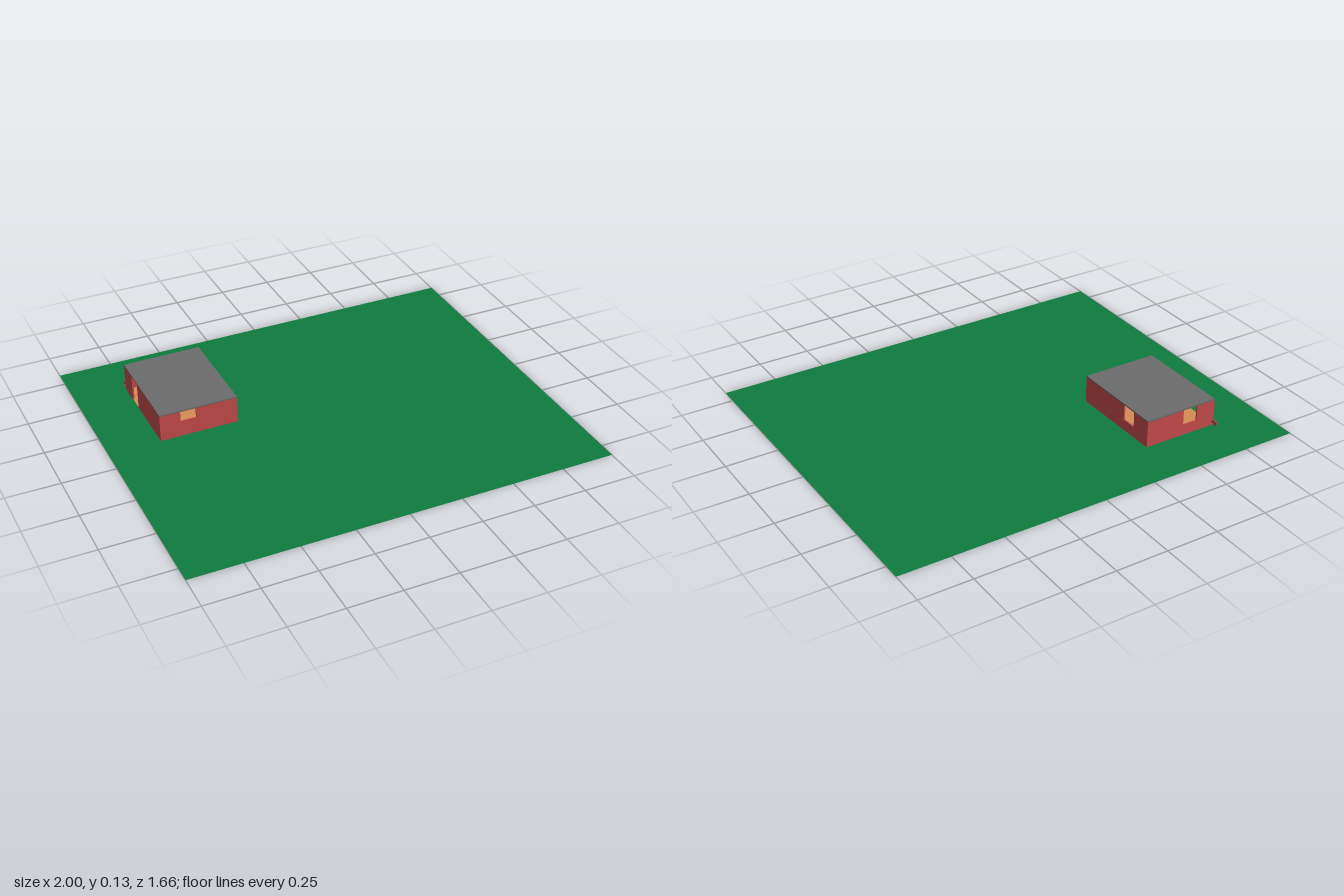
import * as THREE from 'three';

const mat = (name, color, extra = {}) => {
  const m = new THREE.MeshStandardMaterial({ color, ...extra });
  m.name = name;
  return m;
};

// House extents
const X0 = -0.755, X1 = -0.385, Z0 = -0.587, Z1 = -0.115;
const WALL_H = 0.128, ROOF_T = 0.006, T = 0.007, GROUND_Y = 0.001;

export function createModel() {
  const green = mat('grass green', 0x0f7c3f, { side: THREE.DoubleSide });
  const red = mat('wall red', 0xcc4e4e);
  const grey = mat('roof grey', 0x6c6c6c);
  const orange = mat('floor orange', 0xd68c55, { side: THREE.DoubleSide });
  const dark = mat('dark metal', 0x3a3030);

  const model = new THREE.Group();
  model.name = 'houseOnLawn';

  const add = (parent, name, geometry, material, x, y, z) => {
    const mesh = new THREE.Mesh(geometry, material);
    mesh.name = name;
    mesh.position.set(x, y, z);
    parent.add(mesh);
    return mesh;
  };
  const box = (parent, name, material, x0, x1, y0, y1, z0, z1) =>
    add(parent, name, new THREE.BoxGeometry(x1 - x0, y1 - y0, z1 - z0), material,
      (x0 + x1) / 2, (y0 + y1) / 2, (z0 + z1) / 2);
  const sheet = (parent, name, material, x0, x1, z0, z1, y) =>
    add(parent, name, new THREE.PlaneGeometry(x1 - x0, z1 - z0).rotateX(-Math.PI / 2), material,
      (x0 + x1) / 2, y, (z0 + z1) / 2);

  // Wall outline from a to b with an opening that runs from the sill up to the roof
  const wallGeometry = (a, b, o0, o1, sill) => {
    const outline = sill > 0
      ? [[a, 0], [b, 0], [b, WALL_H], [o1, WALL_H], [o1, sill], [o0, sill], [o0, WALL_H], [a, WALL_H]]
      : null;
    const toShape = pts => new THREE.Shape(pts.map(p => new THREE.Vector2(p[0], p[1])));
    const rect = (l, r) => toShape([[l, 0], [r, 0], [r, WALL_H], [l, WALL_H]]);
    const shapes = outline ? toShape(outline) : [rect(a, o0), rect(o1, b)];
    return new THREE.ExtrudeGeometry(shapes, { depth: T, bevelEnabled: false });
  };

  // Lawn
  sheet(model, 'lawn', green, -1, 1, -0.83, 0.83, GROUND_Y);

  const house = new THREE.Group();
  house.name = 'house';
  model.add(house);

  // Front and back walls, each with a window
  add(house, 'frontWall', wallGeometry(X0, X1, -0.657, -0.582, 0.078), red, 0, 0, Z1 - T);
  add(house, 'backWall', wallGeometry(X0, X1, -0.657, -0.582, 0.053), red, 0, 0, Z0);

  // Side walls run along z: a window on one side, a doorway on the other
  const sideWall = (name, x, sill) => {
    const g = wallGeometry(-Z1 + T, -Z0 - T, 0.41, 0.485, sill).rotateY(Math.PI / 2);
    add(house, name, g, red, x, 0, 0);
  };
  sideWall('windowSideWall', X1 - T, 0.053);
  sideWall('doorSideWall', X0, 0);

  // Floor and flat roof
  sheet(house, 'floor', orange, X0 + 0.001, X1 - 0.001, Z0 + 0.001, Z1 - 0.001, 0.003);
  box(house, 'roof', grey, X0, X1, WALL_H, WALL_H + ROOF_T, Z0, Z1);

  // Small fitting at the back corner
  const fitting = new THREE.Group();
  fitting.name = 'cornerFitting';
  house.add(fitting);
  box(fitting, 'fittingPlate', red, -0.751, -0.746, 0.009, 0.03, -0.621, -0.597);
  box(fitting, 'fittingArm', dark, -0.752, -0.746, 0.016, 0.021, -0.597, Z0);
  box(fitting, 'fittingPin', red, -0.762, -0.751, 0.016, 0.021, -0.597, -0.591);

  return model;
}
